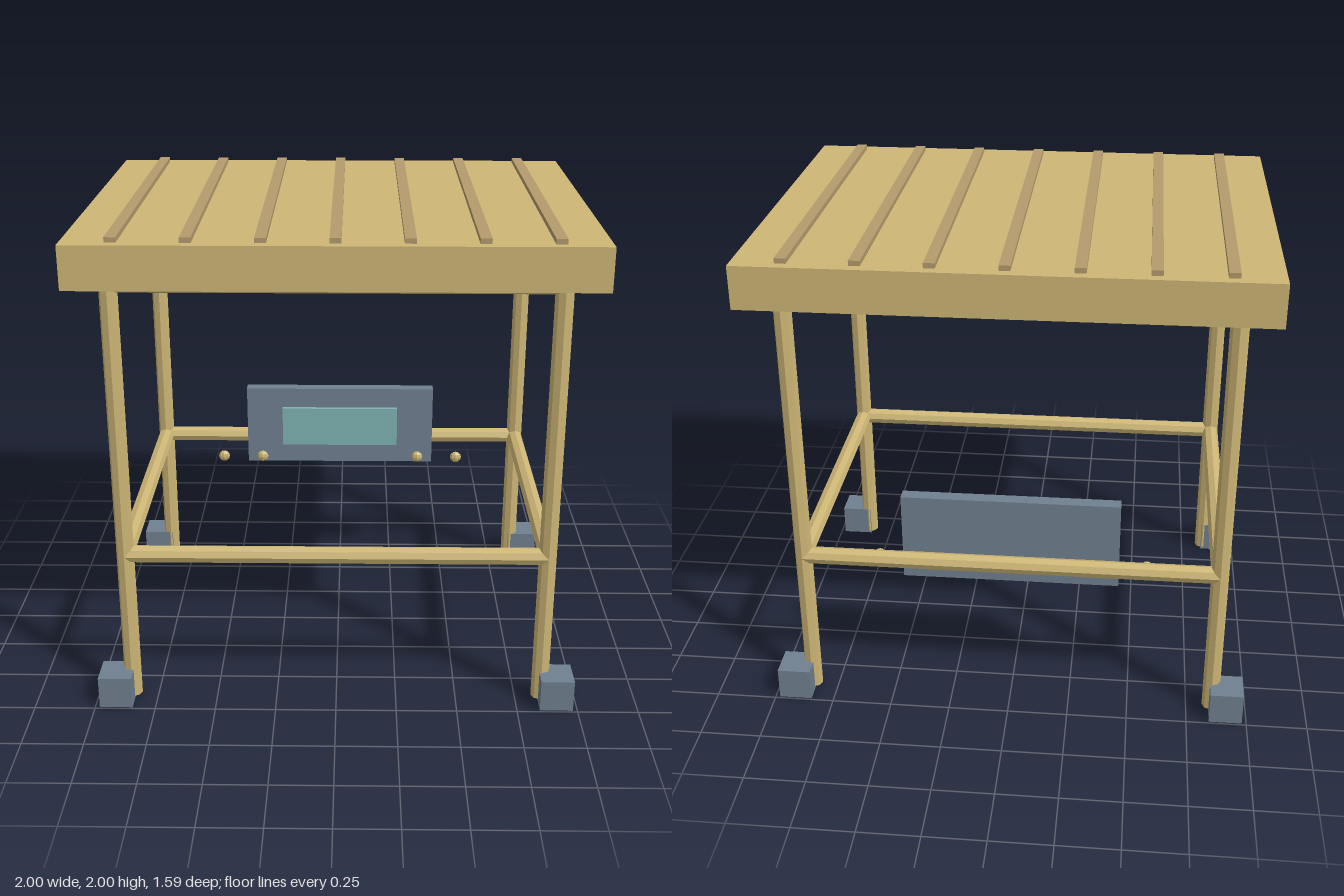
import * as THREE from 'three';

const mat = (color) => new THREE.MeshStandardMaterial({ color, flatShading: true });

export function createModel() {
  const model = new THREE.Group();
  model.name = 'shelterTable';
  const wood = mat(0xcdb675), slatWood = mat(0xb39b6c);
  const metal = mat(0x708090), glass = mat(0x7fb3b5);

  const add = (name, geometry, material, x, y, z) => {
    const mesh = new THREE.Mesh(geometry, material);
    mesh.name = name;
    mesh.position.set(x, y, z);
    model.add(mesh);
    return mesh;
  };
  const box = (name, material, w, h, d, x, y, z) =>
    add(name, new THREE.BoxGeometry(w, h, d), material, x, y, z);
  // Octagonal pole
  const pole = (name, length, x, y, z) =>
    add(name, new THREE.CylinderGeometry(0.036, 0.036, length, 8), wood, x, y, z);

  const LX = 0.853, LZ = 0.638;

  // Top slab with raised slats
  box('topSlab', wood, 2, 0.17, 1.59, 0, 1.895, 0);
  for (let i = -3; i <= 3; i++) {
    box('slat', slatWood, 0.043, 0.03, 1.51, i * 0.271, 1.985, 0);
  }

  // Legs and block feet set outside them
  for (const sx of [-1, 1]) {
    for (const sz of [-1, 1]) {
      pole('leg', 1.8, sx * LX, 0.91, sz * LZ);
      box('foot', metal, 0.137, 0.137, 0.137, sx * 0.913, 0.0685, sz * 0.673);
    }
  }

  // Lower and upper rails on all four sides
  for (const [name, y] of [['lowerRail', 0.663], ['upperRail', 1.795]]) {
    for (const s of [-1, 1]) {
      pole(name, LX * 2, 0, y, s * LZ).rotation.z = Math.PI / 2;
      pole(name, LZ * 2, s * LX, y, 0).rotation.x = Math.PI / 2;
    }
  }

  // Control panel on the back rail
  box('panel', metal, 0.89, 0.375, 0.055, 0, 0.7475, -0.5725);
  box('screen', glass, 0.55, 0.187, 0.02, 0, 0.747, -0.535);

  // Flattened knobs
  for (const x of [-0.56, -0.373, 0.373, 0.56]) {
    add('knob', new THREE.SphereGeometry(0.027, 8, 6), wood, x, 0.6, -0.51).scale.z = 0.62;
  }
  return model;
}
